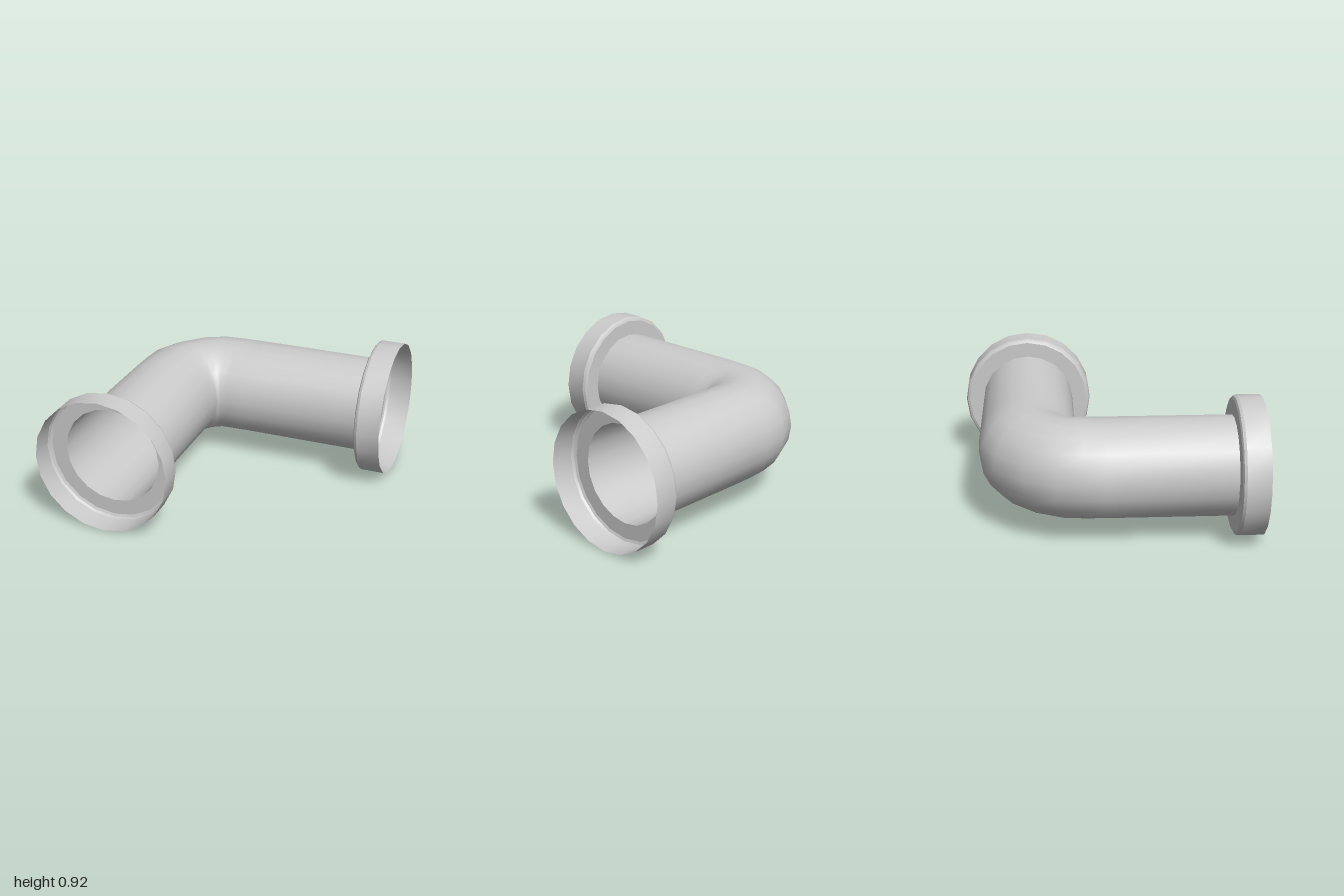
import * as THREE from 'three';
import { toCreasedNormals } from 'three/addons/utils/BufferGeometryUtils.js';

const SIDES = 20;
const PIPE_R = 0.33, FLANGE_R = 0.46, FLANGE_DEPTH = 0.18;
const CORNER = new THREE.Vector3(-0.54, 0.46, -0.5275); // where the two axes meet
const FRONT_END = 0.9875, SIDE_END = 1;

// Thin pipe wall skinned through rings: { x, z, angle }, measured from the corner
function pipeGeometry(rings) {
  const positions = [], indices = [];
  rings.forEach(({ x, z, angle }, i) => {
    for (let j = 0; j < SIDES; j++) {
      const phi = (j / SIDES) * Math.PI * 2;
      const out = PIPE_R * Math.cos(phi);
      positions.push(
        CORNER.x + x - out * Math.cos(angle),
        CORNER.y + PIPE_R * Math.sin(phi),
        CORNER.z + z - out * Math.sin(angle));
      if (i === 0) continue;
      const k = (j + 1) % SIDES, a = (i - 1) * SIDES, b = i * SIDES;
      indices.push(a + j, a + k, b + j, a + k, b + k, b + j);
    }
  });
  const geometry = new THREE.BufferGeometry();
  geometry.setAttribute('position', new THREE.Float32BufferAttribute(positions, 3));
  geometry.setIndex(indices);
  geometry.computeVertexNormals();
  return geometry;
}

// Open socket: flat shoulder, small rounded edge, straight collar, along +y
function flangeGeometry() {
  const profile = [
    [PIPE_R, 0], [FLANGE_R - 0.025, 0], [FLANGE_R - 0.008, 0.008],
    [FLANGE_R, 0.025], [FLANGE_R, FLANGE_DEPTH],
  ].map(([r, y]) => new THREE.Vector2(r, y));
  return toCreasedNormals(new THREE.LatheGeometry(profile, SIDES), 0.4);
}

export function createModel() {
  const group = new THREE.Group();
  group.name = 'pipeElbow';
  const material = new THREE.MeshStandardMaterial({ color: 0xcccccc, side: THREE.DoubleSide });
  const add = (name, geometry) => {
    const mesh = new THREE.Mesh(geometry, material);
    mesh.name = name;
    group.add(mesh);
    return mesh;
  };

  // First half of the bend, mirrored across the diagonal for the second half
  const half = [[0, 0.5, 0], [0.004, 0.379, 5], [0.013, 0.265, 15], [0.065, 0.161, 33.2]]
    .map(([x, z, deg]) => ({ x, z, angle: THREE.MathUtils.degToRad(deg) }));
  const mirrored = half.map(({ x, z, angle }) => ({ x: z, z: x, angle: Math.PI / 2 - angle })).reverse();
  const start = { x: 0, z: FRONT_END - FLANGE_DEPTH - CORNER.z, angle: 0 };
  const end = { x: SIDE_END - FLANGE_DEPTH - CORNER.x, z: 0, angle: Math.PI / 2 };
  add('bentPipe', pipeGeometry([start, ...half, ...mirrored, end]));

  // Sockets at both open ends
  const front = add('frontFlange', flangeGeometry());
  front.rotation.x = Math.PI / 2;
  front.position.set(CORNER.x, CORNER.y, FRONT_END - FLANGE_DEPTH);

  const side = add('leftFlange', flangeGeometry());
  side.rotation.z = -Math.PI / 2;
  side.position.set(SIDE_END - FLANGE_DEPTH, CORNER.y, CORNER.z);

  return group;
}
